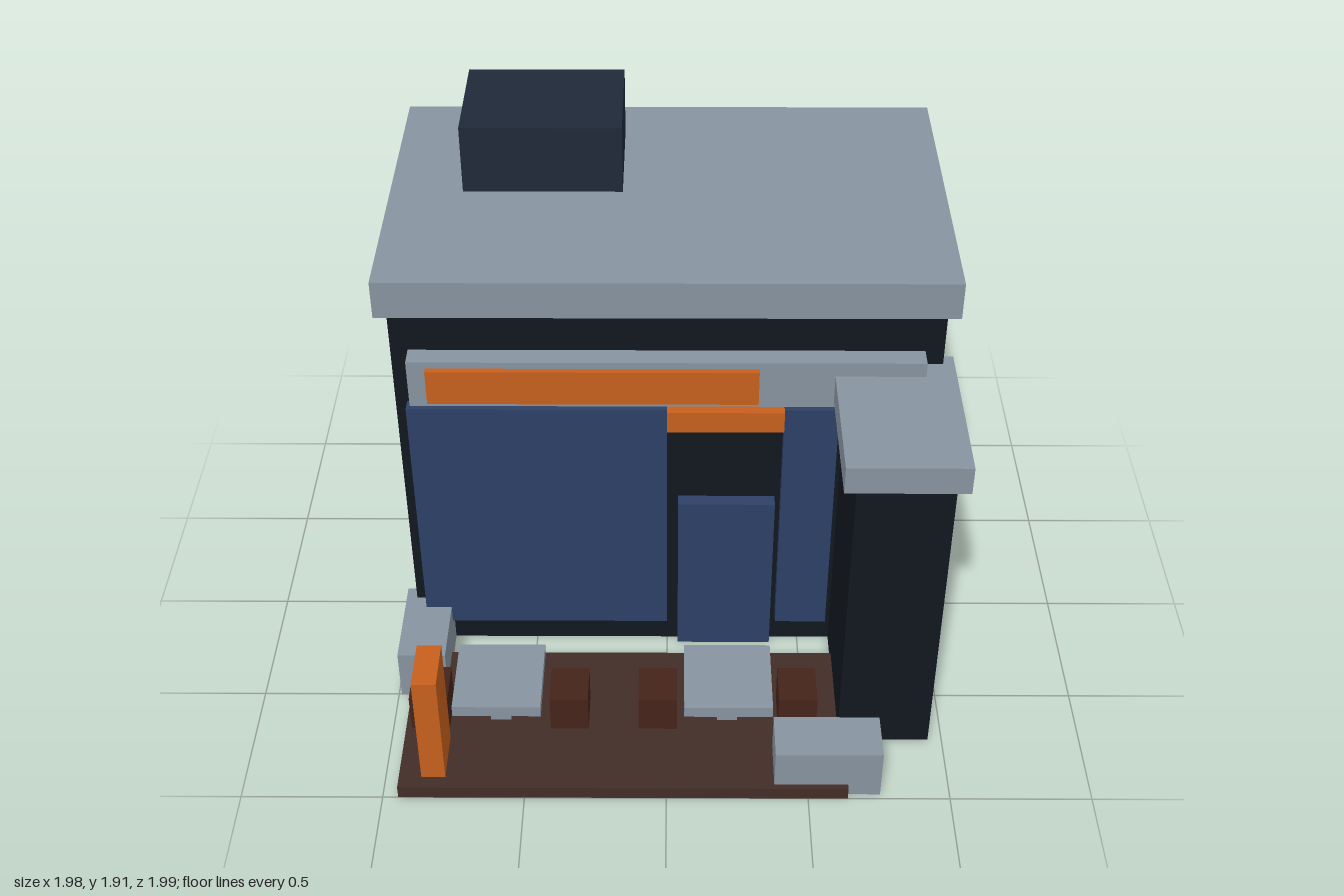
import * as THREE from 'three';

const mat = (color) => new THREE.MeshStandardMaterial({ color, flatShading: true });

export function createModel() {
  const root = new THREE.Group();
  root.name = 'cafe';

  const wall = mat(0x11181f);
  const trim = mat(0x87939f);
  const orange = mat(0xc65f1c);
  const glass = mat(0x2d4066);
  const deckWood = mat(0x432d27);
  const seatWood = mat(0x45241a);
  const unitDark = mat(0x202938);

  // Box given by its extents on each axis
  function box(name, material, [x0, x1], [y0, y1], [z0, z1], parent = root) {
    const mesh = new THREE.Mesh(new THREE.BoxGeometry(x1 - x0, y1 - y0, z1 - z0), material);
    mesh.position.set((x0 + x1) / 2, (y0 + y1) / 2, (z0 + z1) / 2);
    mesh.name = name;
    parent.add(mesh);
    return mesh;
  }

  // Main building, roof slab and rooftop unit
  box('mainBuilding', wall, [-0.95, 0.95], [0, 1.52], [-0.95, 0.19]);
  box('mainRoof', trim, [-0.99, 0.99], [1.52, 1.66], [-0.99, 0.23]);
  box('rooftopUnit', unitDark, [-0.73, -0.16], [1.66, 1.915], [-0.8, -0.36]);

  // Projecting side wing with its own roof
  box('sideWing', wall, [0.62, 0.95], [0, 1.2], [0.19, 0.72]);
  box('sideWingRoof', trim, [0.575, 0.99], [1.2, 1.305], [0.145, 0.76]);

  // Shop front
  box('signBoard', trim, [-0.89, 0.885], [1.175, 1.36], [0.19, 0.265]);
  box('signPanel', orange, [-0.825, 0.315], [1.2, 1.335], [0.265, 0.287]);
  box('largeWindow', glass, [-0.91, 0], [0.13, 1.14], [0.19, 0.24]);
  box('narrowWindow', glass, [0.41, 0.6], [0.13, 1.14], [0.19, 0.24]);
  box('doorHeader', orange, [0, 0.41], [1.05, 1.135], [0.19, 0.25]);
  box('door', glass, [0.04, 0.39], [0.02, 0.71], [0.19, 0.24]);

  // Terrace
  box('terraceDeck', deckWood, [-0.945, 0.64], [0, 0.05], [0.33, 1]);
  box('menuPost', orange, [-0.865, -0.78], [0.05, 0.51], [0.76, 0.95]);
  box('leftPlanter', trim, [-0.99, -0.815], [0, 0.2], [0.14, 0.5]);
  box('rightPlanter', trim, [0.38, 0.755], [0, 0.2], [0.8, 0.98]);

  // Two tables, each with a stool on either side
  for (const x of [-0.603, 0.22]) {
    const set = new THREE.Group();
    set.name = 'tableSet';
    set.position.set(x, 0, 0.638);
    root.add(set);
    box('tableTop', trim, [-0.157, 0.157], [0.195, 0.24], [-0.157, 0.157], set);
    box('tableLeg', trim, [-0.037, 0.037], [0.05, 0.195], [-0.037, 0.037], set);
    for (const s of [-0.252, 0.252]) {
      box('stool', seatWood, [s - 0.069, s + 0.069], [0.05, 0.2], [-0.08, 0.08], set);
    }
  }

  return root;
}
